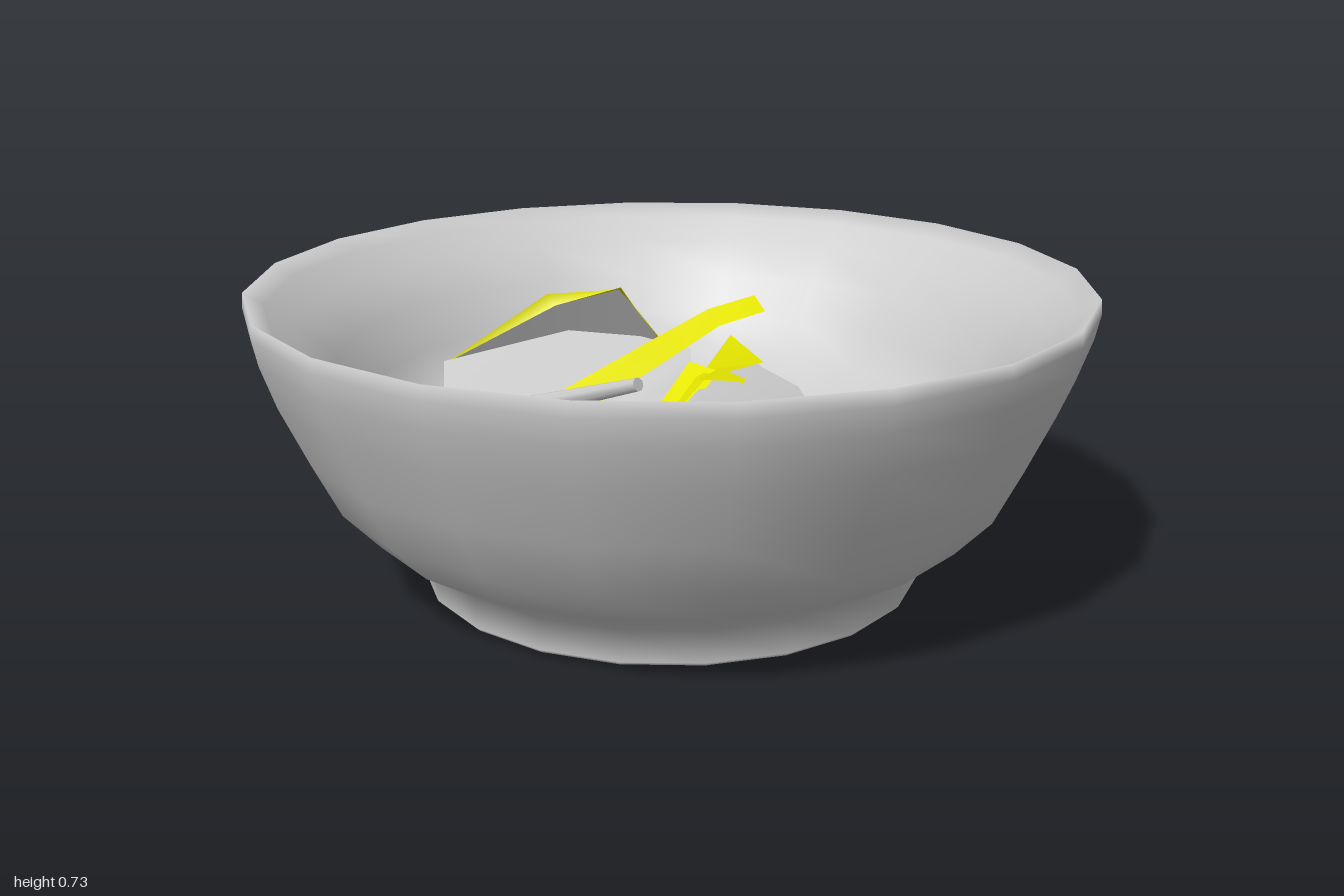
import * as THREE from 'three';

const GREY = 0xcccccc, YELLOW = 0xe6e600;
const material = (color, side = THREE.FrontSide) => new THREE.MeshStandardMaterial({ color, side });

// Surface through rows of points: rows run back to front, points left to right
function surface(name, rows, color, side) {
  const n = rows[0].length, index = [];
  for (let i = 0; i < rows.length - 1; i++)
    for (let j = 0; j < n - 1; j++) {
      const a = i * n + j, b = a + n;
      index.push(a, b, a + 1, b, b + 1, a + 1);
    }
  const geometry = new THREE.BufferGeometry();
  geometry.setAttribute('position', new THREE.Float32BufferAttribute(rows.flat(2), 3));
  geometry.setIndex(index);
  geometry.computeVertexNormals();
  const mesh = new THREE.Mesh(geometry, material(color, side));
  mesh.name = name;
  return mesh;
}

// Thin leaf, with its own colour on each face
function leaf(name, rows, top, under = top) {
  const group = new THREE.Group();
  group.name = name;
  if (top === under) group.add(surface(name + 'Sheet', rows, top, THREE.DoubleSide));
  else group.add(
    surface(name + 'Top', rows, top),
    surface(name + 'Underside', [...rows].reverse(), under));
  return group;
}

// Stalk between two points, with a yellow core at the cut end
function stalk(name, from, to, r0, r1) {
  const a = new THREE.Vector3(...from), b = new THREE.Vector3(...to);
  const dir = b.clone().sub(a), length = dir.length();
  const group = new THREE.Group();
  group.name = name;
  const tube = new THREE.Mesh(new THREE.CylinderGeometry(r1, r0, length, 8, 1, true), material(GREY));
  tube.name = name + 'Tube';
  const end = new THREE.Mesh(new THREE.CircleGeometry(r0, 8), material(YELLOW));
  end.name = name + 'CutEnd';
  end.rotation.x = Math.PI / 2;
  end.position.y = -length / 2;
  const tip = new THREE.Mesh(new THREE.CircleGeometry(r1, 8), material(GREY));
  tip.name = name + 'Tip';
  tip.rotation.x = -Math.PI / 2;
  tip.position.y = length / 2;
  group.add(tube, end, tip);
  group.position.copy(a).add(b).multiplyScalar(0.5);
  group.quaternion.setFromUnitVectors(new THREE.Vector3(0, 1, 0), dir.normalize());
  return group;
}

export function createModel() {
  const model = new THREE.Group();
  model.name = 'bowlWithLeaves';

  // Bowl: base, foot, outer wall, rim, then a rounded shoulder down to a dished floor
  const profile = [[0, 0], [0.595, 0.004], [0.605, 0.014], [0.605, 0.09], [0.735, 0.17], [0.82, 0.26],
    [0.885, 0.39], [0.95, 0.53], [0.985, 0.63], [0.998, 0.69], [0.995, 0.725],
    [0.95, 0.695], [0.88, 0.64], [0.79, 0.56], [0.735, 0.455], [0.675, 0.375],
    [0.55, 0.31], [0.35, 0.25], [0, 0.23]];
  const bowl = new THREE.Mesh(
    new THREE.LatheGeometry(profile.map(([r, y]) => new THREE.Vector2(r, y)), 20), material(GREY));
  bowl.name = 'bowl';
  model.add(bowl);

  // Broad curled leaf, its front edge turned over to the yellow face
  model.add(leaf('broadLeaf', [
    [[-0.42, 0.46, -0.46], [-0.09, 0.51, -0.435], [0.085, 0.49, -0.37]],
    [[-0.48, 0.38, -0.29], [-0.1, 0.43, -0.27], [0.165, 0.48, -0.235]],
    [[-0.525, 0.33, -0.13], [-0.21, 0.33, -0.1], [0.14, 0.42, -0.17]],
  ], GREY));
  model.add(leaf('broadLeafCurl', [
    [[-0.41, 0.32, -0.13], [-0.21, 0.33, -0.1], [0, 0.37, -0.1], [0.14, 0.46, -0.19]],
    [[-0.41, 0.31, -0.03], [-0.2, 0.315, 0], [-0.05, 0.32, 0.03], [0.17, 0.46, -0.08]],
  ], YELLOW, GREY));
  model.add(leaf('broadLeafCorner', [
    [[-0.47, 0.395, -0.15], [-0.4, 0.41, -0.19]],
    [[-0.54, 0.38, -0.1], [-0.4, 0.44, -0.04]],
  ], GREY));

  // Long narrow strip, yellow above, with a grey back edge turned down
  const stripBack = [[-0.49, 0.35, -0.13], [-0.38, 0.38, -0.14], [0.03, 0.5, -0.245],
    [0.25, 0.56, -0.305], [0.39, 0.58, -0.315]];
  model.add(leaf('longStrip', [
    stripBack,
    [[-0.5, 0.315, -0.08], [-0.4, 0.325, -0.04], [0.05, 0.46, -0.185], [0.25, 0.53, -0.24], [0.39, 0.55, -0.255]],
  ], YELLOW, GREY));
  model.add(leaf('longStripBackEdge', [
    stripBack.map(([x, y, z]) => [x, y - 0.04, z + 0.01]), stripBack], GREY));

  // Folded leaf at the back, with a yellow flap along its ridge
  const backCorner = [-0.375, 0.42, -0.58];
  const ridge = [backCorner, [-0.13, 0.6, -0.48], [0.05, 0.605, -0.43], [0.1, 0.55, -0.435], [0.27, 0.35, -0.49]];
  model.add(leaf('backLeaf', [
    [backCorner, [-0.13, 0.4, -0.565], [0, 0.385, -0.55], [0.1, 0.37, -0.53], [0.27, 0.34, -0.49]], ridge], GREY));
  model.add(leaf('backLeafFold', [
    ridge, [backCorner, [-0.11, 0.57, -0.47], [0.04, 0.62, -0.39], [0.1, 0.54, -0.42], [0.27, 0.35, -0.48]]], YELLOW));

  // Pointed leaf leaning on the others
  model.add(leaf('pointedLeaf', [
    [[0.39, 0.43, -0.45], [0.39, 0.43, -0.45], [0.39, 0.43, -0.45]],
    [[0.13, 0.42, -0.1], [0.2, 0.43, -0.1], [0.3, 0.45, -0.1]],
    [[-0.18, 0.47, 0.33], [-0.03, 0.53, 0.35], [0.166, 0.53, 0.33]],
    [[-0.16, 0.55, 0.56], [-0.06, 0.575, 0.56], [0.04, 0.58, 0.6]],
    [[-0.086, 0.63, 0.735], [-0.086, 0.63, 0.735], [-0.086, 0.63, 0.735]],
  ], GREY));
  model.add(leaf('pointedLeafFold', [
    [[0.39, 0.44, -0.45], [0.39, 0.44, -0.45]],
    [[0.13, 0.45, -0.1], [0.3, 0.465, -0.09]],
    [[0.03, 0.5, 0.09], [0.12, 0.5, 0.02]],
    [[-0.04, 0.59, 0.41], [-0.01, 0.59, 0.41]],
    [[-0.048, 0.6, 0.46], [-0.045, 0.6, 0.46]],
  ], YELLOW));
  model.add(leaf('pointedLeafEdge', [
    [[0.12, 0.45, -0.1], [0.14, 0.46, -0.07]],
    [[-0.19, 0.475, 0.33], [-0.18, 0.48, 0.335]],
  ], YELLOW));

  // Small flat leaf under the stalks
  model.add(leaf('flatLeaf', [
    [[-0.45, 0.41, 0.31], [-0.15, 0.42, 0.26], [0.05, 0.4, 0.25]],
    [[-0.47, 0.42, 0.5], [-0.33, 0.43, 0.515], [-0.1, 0.42, 0.525]],
  ], GREY));

  // Stalks
  model.add(
    stalk('lyingStalk', [-0.45, 0.42, 0.325], [0.37, 0.32, 0.24], 0.035, 0.038),
    stalk('leaningStalk', [-0.58, 0.4, -0.13], [-0.31, 0.64, 0.5], 0.034, 0.015));
  return model;
}
